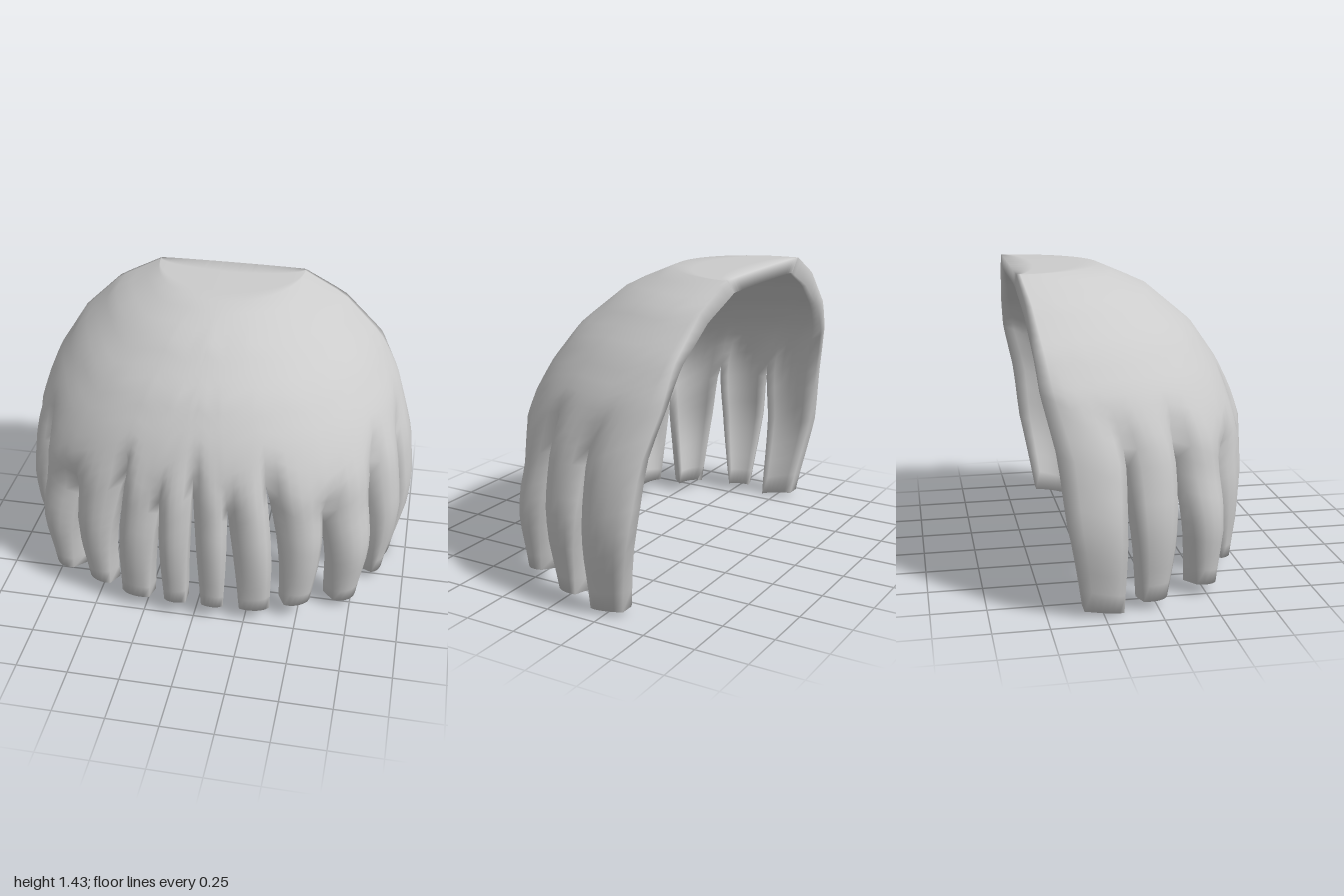
import * as THREE from 'three';
import { mergeVertices } from 'three/addons/utils/BufferGeometryUtils.js';

// Profile by height: [y, half width, front z, back z]
const PROFILE = [
  [0.00, 0.915, 0.505, -0.335], [0.10, 0.935, 0.515, -0.35], [0.30, 0.985, 0.54, -0.385],
  [0.45, 1.00, 0.55, -0.415], [0.72, 0.97, 0.54, -0.445], [0.85, 0.93, 0.50, -0.475],
  [0.98, 0.88, 0.44, -0.505], [1.15, 0.765, 0.325, -0.52], [1.33, 0.575, 0.11, -0.535],
  [1.43, 0.37, -0.12, -0.55],
];
const TOP = 1.43;
const THICK = 0.065;

// Partings from the centre to the back rim: [angle in degrees, height where it starts, groove depth]
const PARTINGS = [
  [0, 0.81, 0.05], [7.2, 0.66, 0.06], [18.5, 0.77, 0.085], [37, 0.59, 0.085],
  [58.5, 0.74, 0.085], [75.5, 0.75, 0.055], [90, 0.95, 0.045],
];
// Locks between the partings: tip angles and heights, how each edge bends towards the tip, outward swell
const LOCKS = [
  { angle: [1.3, 6.4], y: [0.08, 0.08], bend: [1.2, 1.2], swell: 0 },
  { angle: [10.8, 20], y: [0.07, 0.07], bend: [1.1, 1.2], swell: 0 },
  { angle: [24.7, 33.8], y: [0.08, 0.09], bend: [0.8, 1.2], swell: 0 },
  { angle: [43.5, 54], y: [0.045, 0.055], bend: [1.1, 0.6], swell: 0.03 },
  { angle: [66.5, 75], y: [0.04, 0.04], bend: [1.8, 0.8], swell: 0 },
  { angle: [81, 90], y: [0.0, 0.028], bend: [1.2, 1.2], swell: 0 },
];

const CROWN = 4, UPPER = 14, LOWER = 9, COLS = 6;
const ROWS = CROWN + UPPER + LOWER;
const RING = 2 * (COLS + 1);
const lerp = THREE.MathUtils.lerp;
const smooth = THREE.MathUtils.smoothstep;

function profileAt(y) {
  let i = 0;
  while (i < PROFILE.length - 2 && y > PROFILE[i + 1][0]) i++;
  const a = PROFILE[i], b = PROFILE[i + 1];
  const t = THREE.MathUtils.clamp((y - a[0]) / (b[0] - a[0]), 0, 1);
  return [1, 2, 3].map(k => lerp(a[k], b[k], t));
}

// Point on the half-oval section at a height, moved inwards by inset; the crown flattens it to the back edge
function shellPoint(angle, y, inset, drop, spread) {
  const [w, f, b] = profileAt(y);
  const p = 2 / lerp(2.4, 2.0, smooth(y, 0.6, TOP));
  const a = THREE.MathUtils.degToRad(angle);
  const s = Math.sin(a), c = Math.max(0, Math.cos(a));
  const x = Math.sign(s) * Math.abs(s) ** p * (w - inset);
  const z = b + c ** p * (f - inset - b) * spread;
  return [x, y + 0.005 * (1 - spread) * c - drop, z];
}

// Angle, height and groove depth of one edge of a lock on a given row
function edgeAt(parting, tipAngle, tipY, bend, row) {
  const [angle, start, depth] = parting;
  if (row <= CROWN) return { angle, y: TOP, groove: 0 };
  if (row <= CROWN + UPPER) {
    const y = lerp(TOP, start, ((row - CROWN) / UPPER) ** 1.2);
    return { angle, y, groove: depth * (1 - smooth(y, start - 0.04, start + 0.2)) };
  }
  const t = (row - CROWN - UPPER) / LOWER;
  const y = lerp(start, tipY, t);
  const groove = depth * (1 - smooth(y, start - 0.04, start + 0.2)) * (1 - 0.75 * t);
  return { angle: lerp(angle, tipAngle, t ** bend), y, groove };
}

// One lock, from crown to tip, as a stack of closed rings (outside then inside)
function addLock(index, side, positions, indices) {
  const base = positions.length / 3;
  const { angle, y: tipY, bend, swell } = LOCKS[index];
  for (let r = 0; r <= ROWS; r++) {
    const edges = [0, 1].map(e => edgeAt(PARTINGS[index + e], angle[e], tipY[e], bend[e], r));
    const [L, R] = side > 0 ? edges : edges.reverse();
    const spread = Math.min(1, r / CROWN);
    for (let k = 0; k < RING; k++) {
      const inner = k > COLS;
      const u = (inner ? RING - 1 - k : k) / COLS;
      const y = lerp(L.y, R.y, u);
      const arch = Math.max(0, Math.sin(Math.PI * u)) ** 0.7;
      const low = 1 - smooth(y, 0.45, 0.9);
      const groove = lerp(L.groove, R.groove, u) * (1 - arch) - swell * low * (0.4 + 0.6 * arch) * (1 - smooth(y, 0.3, 0.6));
      const inset = inner ? THICK + 0.015 * low + 0.6 * groove : groove;
      const drop = inner ? THICK * smooth(y, 0.95, TOP) : 0;
      positions.push(...shellPoint(side * lerp(L.angle, R.angle, u), y, inset, drop, spread));
    }
  }
  const at = (r, k) => base + r * RING + (k % RING);
  for (let r = 0; r < ROWS; r++) {
    for (let k = 0; k < RING; k++) {
      // Side walls are only needed below a parting or along the back rim
      const rightWall = k === COLS, leftWall = k === RING - 1;
      const onRim = index === LOCKS.length - 1 && (side > 0 ? rightWall : leftWall);
      if ((rightWall || leftWall) && r < CROWN + UPPER && !onRim) continue;
      const a = at(r, k), b = at(r + 1, k), c = at(r + 1, k + 1), d = at(r, k + 1);
      indices.push(a, b, d, b, c, d);
    }
  }
  // Blunt tip below and the back rim of the crown above
  for (let k = 0; k < COLS; k++) {
    for (const r of [ROWS, 0]) {
      const a = at(r, k), b = at(r, RING - 1 - k), c = at(r, RING - 2 - k), d = at(r, k + 1);
      if (r) indices.push(a, b, c, a, c, d);
      else indices.push(a, c, b, a, d, c);
    }
  }
}

export function createModel() {
  const group = new THREE.Group();
  group.name = 'hairFringe';
  const positions = [], indices = [];
  for (const side of [-1, 1]) {
    for (let i = 0; i < LOCKS.length; i++) addLock(i, side, positions, indices);
  }
  let geometry = new THREE.BufferGeometry();
  geometry.setAttribute('position', new THREE.Float32BufferAttribute(positions, 3));
  geometry.setIndex(indices);
  geometry = mergeVertices(geometry, 1e-4);

  // Drop collapsed triangles at the crown
  const idx = geometry.index.array, kept = [];
  for (let i = 0; i < idx.length; i += 3) {
    const [a, b, c] = [idx[i], idx[i + 1], idx[i + 2]];
    if (a !== b && b !== c && a !== c) kept.push(a, b, c);
  }
  geometry.setIndex(kept);
  geometry.computeVertexNormals();

  const hair = new THREE.Mesh(geometry, new THREE.MeshStandardMaterial({ color: 0xcccccc, side: THREE.DoubleSide }));
  hair.name = 'hairShellWithLocks';
  group.add(hair);
  return group;
}
